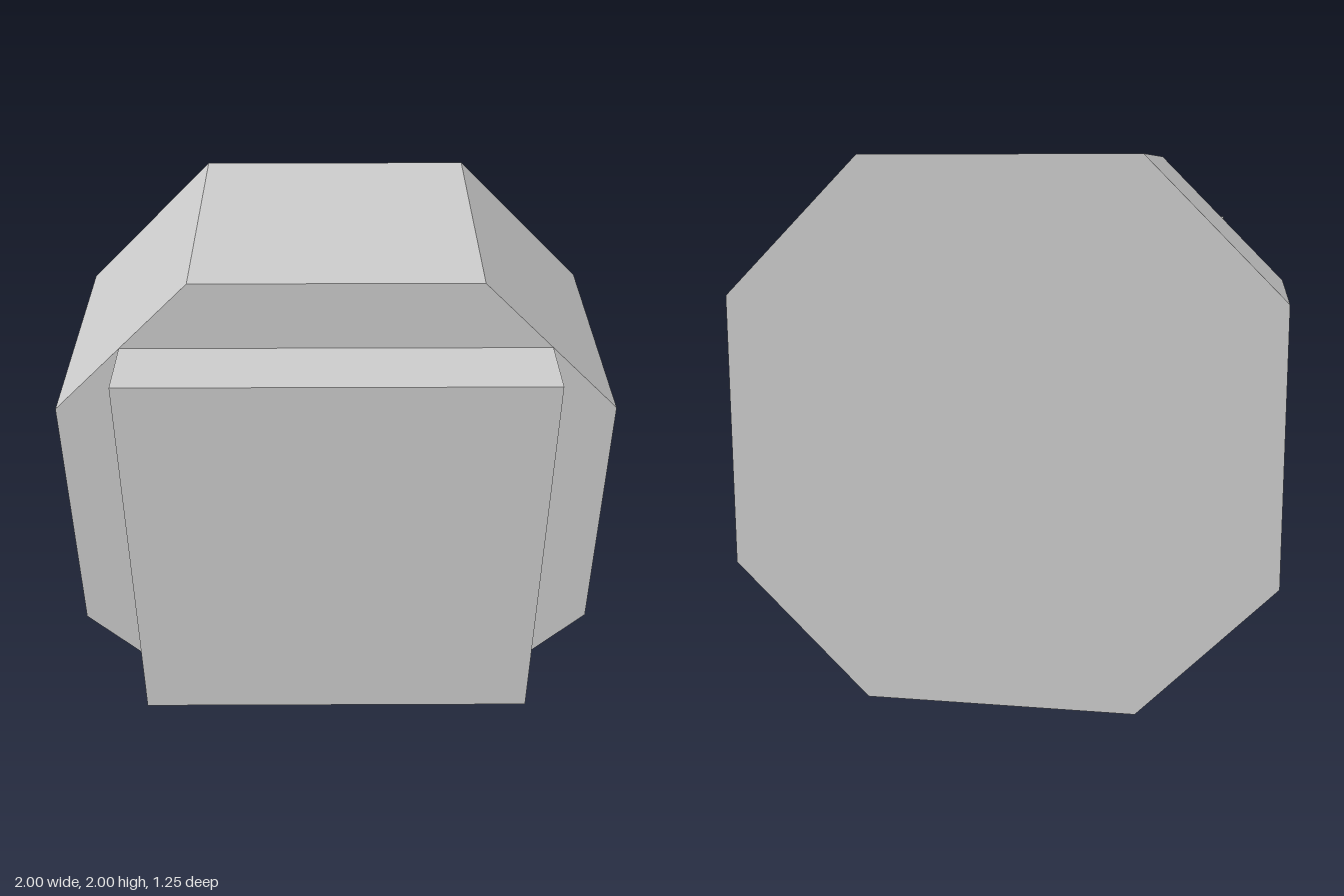
import * as THREE from 'three';

export function createModel() {
  const group = new THREE.Group();
  const material = new THREE.MeshStandardMaterial({ color: 0xcccccc, flatShading: true });

  // Octagonal body: a 2 x 2 square with its corners cut at 45 degrees
  const half = 1, flat = 0.5, depth = 1, back = -0.625;
  const outline = new THREE.Shape([
    [flat, -half], [half, -flat], [half, flat], [flat, half],
    [-flat, half], [-half, flat], [-half, -flat], [-flat, -half],
  ].map(([x, y]) => new THREE.Vector2(x, y)));
  const body = new THREE.Mesh(
    new THREE.ExtrudeGeometry(outline, { depth, bevelEnabled: false }), material);
  body.name = 'octagonalBody';
  body.position.set(0, 1, back);
  group.add(body);

  // Square plate on the front face, its corners meeting the cut edges
  const plateDepth = 0.25;
  const plate = new THREE.Mesh(new THREE.BoxGeometry(1.5, 1.5, plateDepth), material);
  plate.name = 'frontPlate';
  plate.position.set(0, 1, back + depth + plateDepth / 2);
  group.add(plate);

  return group;
}
